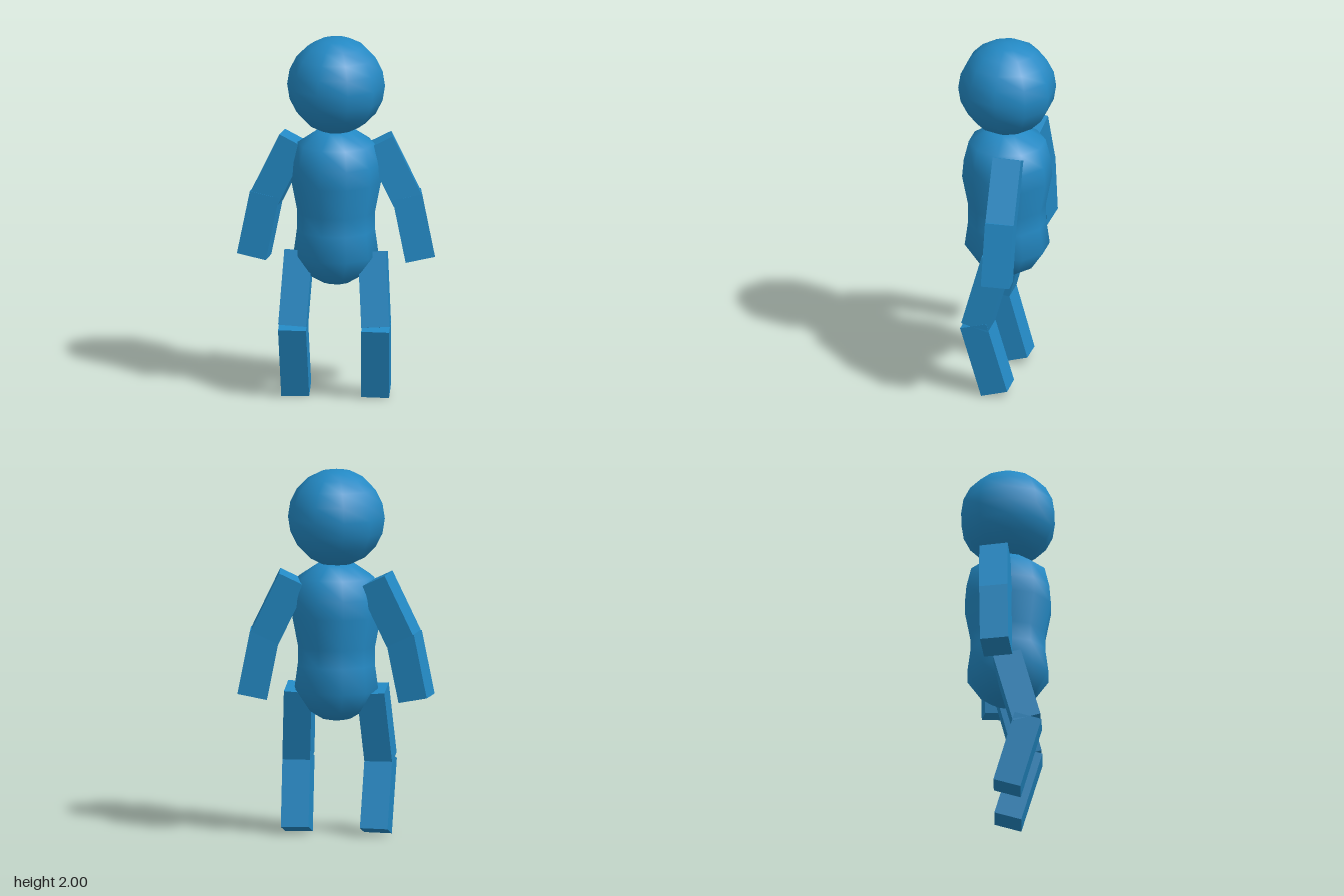
import * as THREE from 'three';

const SIDES = 10;

export function createModel() {
  const model = new THREE.Group();
  model.name = 'figure';
  const skin = new THREE.MeshStandardMaterial({ color: 0x2389c4 });

  const add = (name, geometry) => {
    const mesh = new THREE.Mesh(geometry, skin);
    mesh.name = name;
    model.add(mesh);
    return mesh;
  };

  // Box running from the top joint to the bottom joint, turned about its own length by twist
  const limb = (name, side, top, bottom, width, depth, twist = 0) => {
    const a = new THREE.Vector3(top[0] * side, top[1], top[2]);
    const b = new THREE.Vector3(bottom[0] * side, bottom[1], bottom[2]);
    const up = a.clone().sub(b);
    const mesh = add(name, new THREE.BoxGeometry(width, up.length(), depth));
    up.normalize();
    const across = new THREE.Vector3(Math.cos(twist), 0, -Math.sin(twist) * side);
    const front = across.clone().cross(up).normalize();
    across.crossVectors(up, front);
    mesh.quaternion.setFromRotationMatrix(new THREE.Matrix4().makeBasis(across, up, front));
    mesh.position.copy(a).add(b).multiplyScalar(0.5);
  };

  // Head
  add('head', new THREE.SphereGeometry(0.266, SIDES, 10)).position.y = 1.734;

  // Torso: wide chest, narrow waist, rounded hips
  const profile = [
    [0, 0.62], [0.08, 0.635], [0.155, 0.68], [0.231, 0.79], [0.212, 0.93],
    [0.212, 1.03], [0.245, 1.2], [0.236, 1.3], [0.209, 1.41], [0.1, 1.483], [0, 1.485],
  ].map(([r, y]) => new THREE.Vector2(r, y));
  add('torso', new THREE.LatheGeometry(profile, SIDES, Math.PI / 2));

  // Arms and legs, bent at elbow and knee
  for (const [label, side] of [['left', 1], ['right', -1]]) {
    limb(label + 'UpperArm', side, [0.225, 1.41, -0.065], [0.38, 1.09, -0.065], 0.165, 0.155, 0.12);
    limb(label + 'Forearm', side, [0.38, 1.11, -0.065], [0.45, 0.762, -0.06], 0.163, 0.155, 0.12);
    limb(label + 'Thigh', side, [0.2, 0.802, -0.002], [0.226, 0.405, 0.105], 0.152, 0.155);
    limb(label + 'Shin', side, [0.226, 0.42, 0.112], [0.217, 0.023, -0.003], 0.152, 0.152);
  }
  return model;
}
